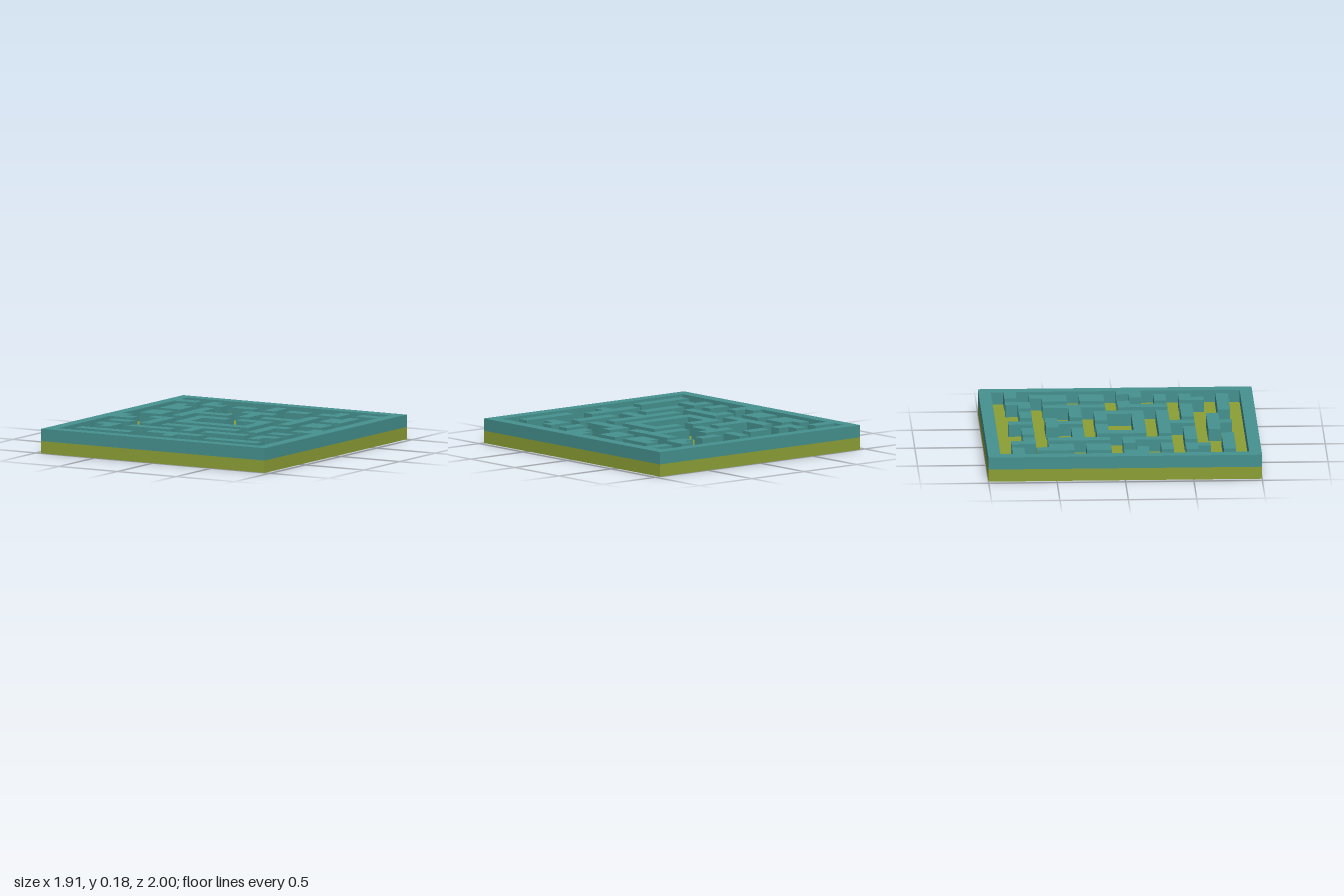
import * as THREE from 'three';

// The maze lies on a grid of 21 x 22 square cells
const COLS = 21, ROWS = 22, CELL = 2 / ROWS;
const wallMaterial = new THREE.MeshStandardMaterial({ color: 0x45918f });
const floorMaterial = new THREE.MeshStandardMaterial({ color: 0x8c9f35 });

// Grid corner (column, row) to shape plane; the plane's y becomes -z
const corner = ([c, r]) => new THREE.Vector2((c - COLS / 2) * CELL, (ROWS / 2 - r) * CELL);
const mirror = (pts) => pts.map(([c, r]) => [COLS - c, r]).reverse();
const symmetric = (half) => [...half, ...mirror(half)];
const rect = (c0, r0, c1, r1) => [[c0, r0], [c1, r0], [c1, r1], [c0, r1]];

// Raise an outline (with an optional hole) one cell above the floor
function wall(name, outline, hole) {
  const shape = new THREE.Shape(outline.map(corner));
  if (hole) shape.holes.push(new THREE.Path(hole.map(corner)));
  const geometry = new THREE.ExtrudeGeometry(shape, { depth: CELL, bevelEnabled: false });
  geometry.rotateX(-Math.PI / 2).translate(0, CELL, 0);
  const mesh = new THREE.Mesh(geometry, wallMaterial);
  mesh.name = name;
  return mesh;
}

// Blocks on the left half of the plan, repeated mirrored on the other half
const sideBlocks = {
  backHook: [[4, 2], [5, 2], [5, 3], [6, 3], [6, 4], [4, 4]],
  backBar: rect(7, 3, 9, 4),
  notchedBlock: [[2, 4], [3, 4], [3, 5], [4, 5], [4, 7], [2, 7]],
  sidewaysTee: [[5, 5], [6, 5], [6, 7], [9, 7], [9, 8], [6, 8], [6, 10], [5, 10]],
  squareBlock: rect(2, 8, 4, 10),
  tallHook: [[4, 11], [6, 11], [6, 15], [5, 15], [5, 12], [4, 12]],
  shortBar: rect(2, 14, 4, 15),
  middleBar: rect(5, 16, 9, 17),
  frontHook: [[2, 16], [4, 16], [4, 18], [3, 18], [3, 17], [2, 17]],
  frontBar: rect(2, 19, 7, 20),
};

// Half outlines of the blocks on the centre line
const centreBlocks = {
  backStub: [[10, 2], [10, 4]],
  backTee: [[9, 5], [9, 6], [10, 6], [10, 8]],
  centreRoom: [[8, 12], [8, 10], [10, 10], [10, 9], [7, 9], [7, 13]],
  middleTee: [[7, 14], [7, 15], [10, 15], [10, 17]],
  frontTee: [[8, 18], [8, 19], [10, 19], [10, 20]],
};

// Half outline of the inside of the border, with its side spurs
const borderInside = [
  [1, 1], [1, 2], [3, 2], [3, 3], [1, 3], [1, 11], [2, 11],
  [2, 12], [3, 12], [3, 13], [1, 13], [1, 21],
];

export function createModel() {
  const model = new THREE.Group();
  model.name = 'mazeBoard';

  // Floor slab
  const floor = new THREE.Mesh(new THREE.BoxGeometry(COLS * CELL, CELL, ROWS * CELL), floorMaterial);
  floor.name = 'floor';
  floor.position.y = CELL / 2;
  model.add(floor);

  // Border and inner walls
  model.add(wall('borderWall', rect(0, 0, COLS, ROWS), symmetric(borderInside)));
  for (const [name, half] of Object.entries(centreBlocks)) model.add(wall(name, symmetric(half)));
  for (const [name, outline] of Object.entries(sideBlocks)) {
    model.add(wall(name + 'Right', outline), wall(name + 'Left', mirror(outline)));
  }
  return model;
}
